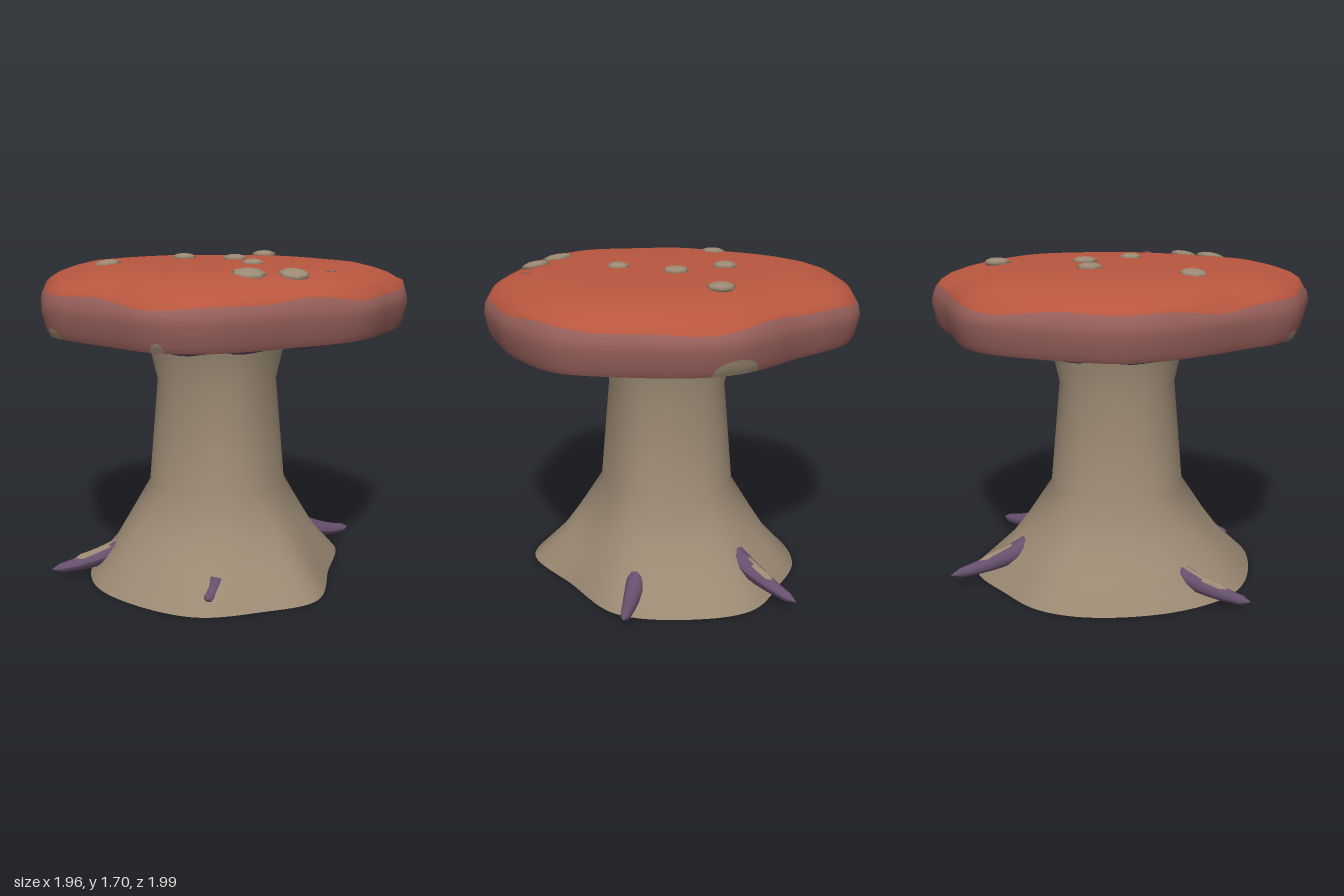
import * as THREE from 'three';

const mat = (name, color) => {
  const m = new THREE.MeshStandardMaterial({ color });
  m.name = name;
  return m;
};

const N = 120; // points around every ring

// Closed smooth outline through a few [x, z] points, resampled by angle about a centre
function outline(pts, cx, cz) {
  const curve = new THREE.CatmullRomCurve3(pts.map(([x, z]) => new THREE.Vector3(x, 0, z)), true, 'centripetal');
  const dense = curve.getPoints(1200).map(p => ({ a: Math.atan2(p.z - cz, p.x - cx), r: Math.hypot(p.x - cx, p.z - cz) }));
  return Array.from({ length: N }, (_, j) => {
    const a = j / N * Math.PI * 2;
    let best = dense[0], gap = 9;
    for (const d of dense) {
      const e = Math.abs(Math.atan2(Math.sin(d.a - a), Math.cos(d.a - a)));
      if (e < gap) { gap = e; best = d; }
    }
    return best.r;
  });
}

// Skin a stack of rings, listed from below to above; at(i, angle, j) gives [radius, y].
// From ring `split` upwards the faces use the second material.
function loft(count, at, cx, cz, split = count) {
  const pos = [], idx = [];
  for (let i = 0; i < count; i++) for (let j = 0; j < N; j++) {
    const a = j / N * Math.PI * 2, [r, y] = at(i, a, j);
    pos.push(cx + r * Math.cos(a), y, cz + r * Math.sin(a));
  }
  const g = new THREE.BufferGeometry();
  for (let i = 0; i < count - 1; i++) for (let j = 0; j < N; j++) {
    const k = (j + 1) % N, a = i * N + j, b = i * N + k, c = a + N, d = b + N;
    idx.push(a, c, b, b, c, d);
  }
  g.setAttribute('position', new THREE.Float32BufferAttribute(pos, 3));
  g.setIndex(idx);
  const cut = Math.min(split, count - 1) * N * 6;
  g.addGroup(0, cut, 0);
  if (cut < idx.length) g.addGroup(cut, idx.length - cut, 1);
  g.computeVertexNormals();
  return g;
}

// Half-round patch lying on the lower rim of the cap
function rimPatch(capR, cx, angle, half, top) {
  const cols = 16, rows = 4, y0 = 1.342;
  const g = new THREE.PlaneGeometry(1, 1, cols, rows);
  const p = g.attributes.position;
  for (let k = 0; k < p.count; k++) {
    const u = -p.getX(k) * 2, v = p.getY(k) + 0.5;
    const a = angle + u * half;
    const y = y0 + v * (top - y0) * Math.sqrt(Math.max(0, 1 - u * u));
    const f = ((a / (Math.PI * 2)) * N + N) % N, j = Math.floor(f);
    const base = THREE.MathUtils.lerp(capR[j], capR[(j + 1) % N], f - j);
    const s = y < 1.37 ? 0.965 + (y - 1.34) * 0.5 : 0.98 + (y - 1.37) * 0.222;
    const r = base * s + 0.005;
    p.setXYZ(k, cx + r * Math.cos(a), y, r * Math.sin(a));
  }
  g.computeVertexNormals();
  return g;
}

// Bent tapering spike with a closed tip
function spike(from, to, r0, r1, sag) {
  const a = new THREE.Vector3(...from), b = new THREE.Vector3(...to);
  const mid = a.clone().lerp(b, 0.5);
  mid.y -= sag;
  const curve = new THREE.QuadraticBezierCurve3(a, mid, b);
  const rings = 10, sides = 10;
  const g = new THREE.TubeGeometry(curve, rings, 1, sides, false);
  const p = g.attributes.position, v = new THREE.Vector3();
  for (let i = 0; i <= rings; i++) {
    const t = i / rings, c = curve.getPointAt(t);
    const r = i === rings ? 0.001 : (r0 + (r1 - r0) * t) * (1 + 0.2 * Math.sin(Math.PI * t));
    for (let j = 0; j <= sides; j++) {
      const k = i * (sides + 1) + j;
      v.fromBufferAttribute(p, k).sub(c).multiplyScalar(r).add(c);
      p.setXYZ(k, v.x, v.y, v.z);
    }
  }
  g.computeVertexNormals();
  return g;
}

export function createModel() {
  const model = new THREE.Group();
  const red = mat('capRed', 0xb9573f);
  const mauve = mat('rimMauve', 0x98605b);
  const purple = mat('gillPurple', 0x66506d);
  const tan = mat('stemTan', 0x9b8973);

  const add = (name, geometry, material) => {
    const m = new THREE.Mesh(geometry, material);
    m.name = name;
    model.add(m);
    return m;
  };

  // Cap: mauve rim below a wavy line, red crown above
  const capR = outline([
    [0.975, 0], [0.945, 0.16], [0.82, 0.40], [0.67, 0.58], [0.52, 0.74], [0.375, 0.825], [0.14, 0.90],
    [-0.27, 0.995], [-0.42, 0.975], [-0.58, 0.89], [-0.72, 0.71], [-0.89, 0.47], [-0.955, 0.35], [-0.98, 0.22],
    [-0.97, 0], [-0.96, -0.285], [-0.92, -0.50], [-0.85, -0.65], [-0.71, -0.77], [-0.39, -0.95], [-0.23, -0.995],
    [-0.12, -0.995], [0.03, -0.95], [0.24, -0.865], [0.46, -0.795], [0.635, -0.705], [0.775, -0.54], [0.89, -0.285],
  ], -0.05, 0);
  const capProfile = [
    [0.965, 1.34], [0.98, 1.37], [1, 1.46], [0.99, 1.505], [0.973, 1.542], [0.946, 1.572],
    [0.9, 1.6], [0.82, 1.628], [0.72, 1.652], [0.6, 1.664], [0.3, 1.668], [0.001, 1.668],
  ];
  const wave = a => 0.013 * Math.sin(5 * a + 1) + 0.008 * Math.sin(11 * a);
  add('cap', loft(capProfile.length, (i, a, j) => {
    const [s, y] = capProfile[i];
    return [capR[j] * s, y + (i === 4 ? wave(a) : 0)];
  }, -0.05, 0, 4), [mauve, red]);

  // Gilled underside, hollowed toward the stem, with radial folds that fade at the rim
  const gillProfile = [
    [0.001, 1.43, 0], [0.38, 1.43, 0.03], [0.55, 1.395, 0.026], [0.75, 1.358, 0.024], [0.88, 1.338, 0.022], [0.965, 1.34, 0],
  ];
  add('gills', loft(gillProfile.length, (i, a, j) => {
    const [s, y, fold] = gillProfile[i];
    return [capR[j] * s, y - fold * Math.abs(Math.sin(9 * a + 0.9 * Math.sin(3 * a)))];
  }, -0.05, 0), purple);

  // Stem: irregular flared foot, slightly squared waist, widening collar, hollowed base
  const footR = outline([
    [0.655, -0.09], [0.49, 0.29], [0.30, 0.65], [0, 0.71], [-0.34, 0.69], [-0.66, 0.405], [-0.77, 0.15],
    [-0.72, -0.2], [-0.5, -0.55], [-0.27, -0.70], [0, -0.72], [0.31, -0.69], [0.53, -0.45],
  ], -0.06, -0.01);
  const stemProfile = [ // foot scale, y, waist radius, share of the waist shape
    [0.001, 0.065, 0, 0], [0.78, 0.065, 0, 0], [0.84, 0.06, 0, 0], [0.96, 0, 0, 0], [1, 0.003, 0, 0],
    [0.81, 0.15, 0.58, 0.3], [0.69, 0.28, 0.5, 0.6], [0.53, 0.49, 0.37, 0.95],
    [0, 1.05, 0.32, 1], [0, 1.34, 0.388, 1], [0, 1.45, 0.432, 1],
  ];
  add('stem', loft(stemProfile.length, (i, a, j) => {
    const [s, y, r, k] = stemProfile[i];
    return [footR[j] * s * (1 - k) + r * k * (0.975 + 0.025 * Math.cos(4 * a)), y];
  }, -0.06, -0.01), tan);

  // Warts on the crown: [x, y, z, radius, tilt about x, tilt about z]
  const warts = [
    [0.33, 1.667, -0.49, 0.07, 0, 0], [-0.18, 1.67, -0.285, 0.066, 0, 0], [0.065, 1.671, -0.125, 0.067, 0, 0],
    [-0.63, 1.659, -0.02, 0.07, 0, 0.12], [0.08, 1.667, 0.20, 0.06, 0, 0],
    [-0.065, 1.653, 0.665, 0.083, 0.18, 0], [0.15, 1.647, 0.665, 0.076, 0.2, 0],
  ];
  warts.forEach(([x, y, z, r, tx, tz], i) => {
    const w = add('wart', new THREE.SphereGeometry(1, 7, 6), tan);
    w.scale.set(r, 0.024, r);
    w.rotation.set(tx, i * 1.3, tz, 'XZY');
    w.position.set(x, y, z);
  });

  // Tiny mauve fleck on the crown
  const fleck = add('crownFleck', new THREE.SphereGeometry(1, 10, 6), mauve);
  fleck.scale.set(0.03, 0.004, 0.02);
  fleck.rotation.x = 0.12;
  fleck.position.set(0.365, 1.652, 0.575);

  // Pale patches on the lower rim: [angle, half angle, top]
  for (const [angle, half, top] of [[-0.815, 0.125, 1.415], [2.77, 0.07, 1.39], [2.065, 0.035, 1.385]])
    add('rimPatch', rimPatch(capR, -0.05, angle, half, top), tan);

  // Root spikes around the foot, two of them with a pale upper strip
  const spikes = [
    [[-0.54, 0.145, -0.05], [-0.98, 0.07, 0.08], 0.053, true],
    [[0.44, 0.15, -0.1], [0.78, 0.065, -0.2], 0.052, false],
    [[0.06, 0.225, -0.4], [0.235, 0.07, -0.9], 0.062, true],
    [[-0.195, 0.13, 0.55], [-0.268, 0.075, 0.655], 0.04, false],
  ];
  for (const [from, to, r, pale] of spikes) {
    add('rootSpike', spike(from, to, r, 0.02, 0.05), purple);
    if (!pale) continue;
    const end = from.map((v, i) => v + (to[i] - v) * 0.72);
    const strip = add('rootStrip', spike(from, end, r * 0.75, 0.018, 0.035), tan);
    strip.position.y = 0.012;
  }
  return model;
}
